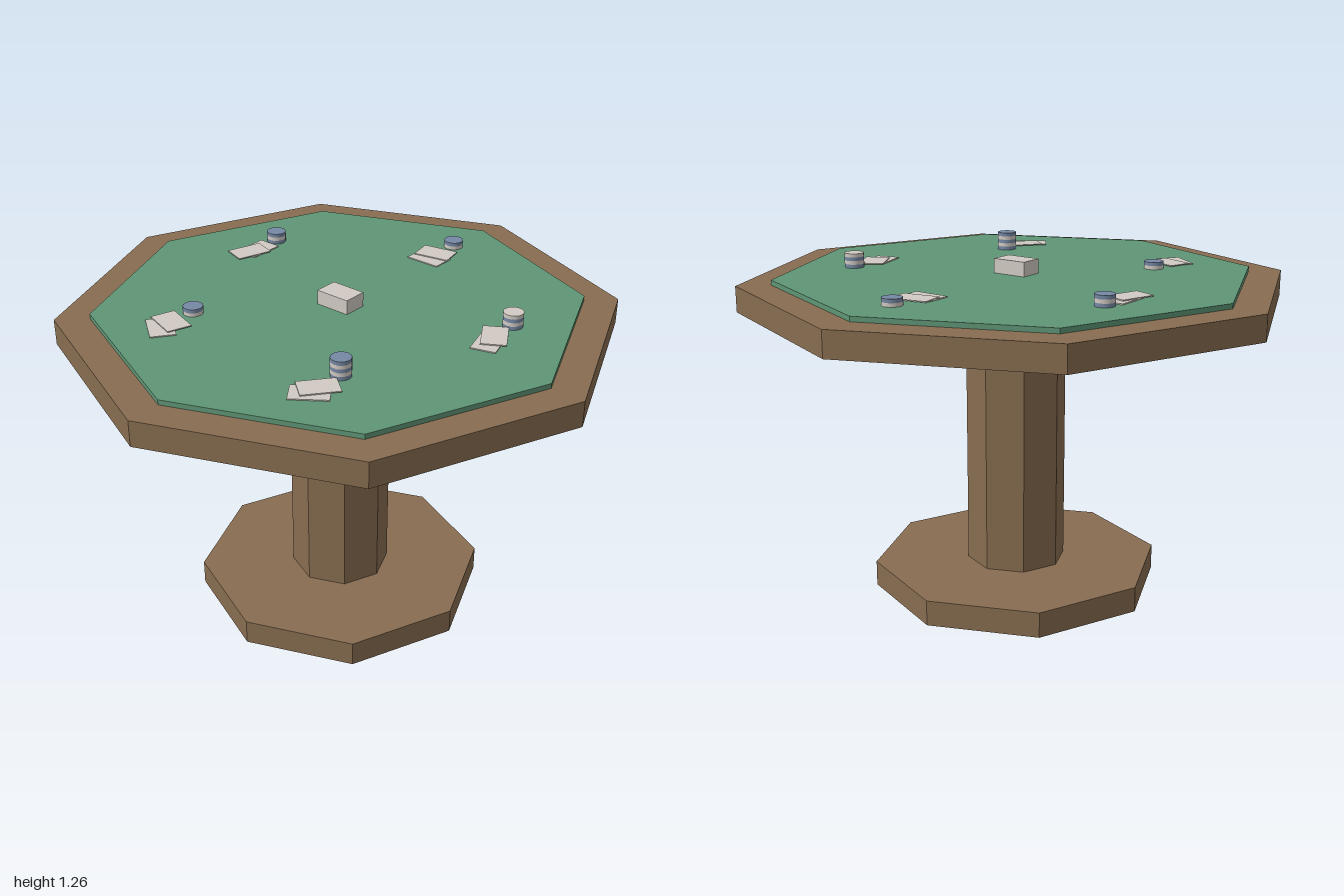
import * as THREE from 'three';

const material = (name, color) => {
  const m = new THREE.MeshStandardMaterial({ color });
  m.name = name;
  return m;
};

export function createModel() {
  const wood = material('wood', 0x876c50);
  const felt = material('green felt', 0x5f9676);
  const ivory = material('ivory', 0xd2cbc4);
  const blue = material('chip blue', 0x7688a4);

  const table = new THREE.Group();
  table.name = 'cardTable';

  const add = (parent, name, geometry, mat, x, y, z, turn = 0) => {
    const mesh = new THREE.Mesh(geometry, mat);
    mesh.name = name;
    mesh.position.set(x, y, z);
    mesh.rotation.y = turn;
    parent.add(mesh);
    return mesh;
  };

  // Octagonal slab with flat faces, standing between two heights
  const octagon = (name, radius, bottom, top, mat) => {
    const g = new THREE.CylinderGeometry(radius, radius, top - bottom, 8).toNonIndexed();
    g.computeVertexNormals();
    add(table, name, g, mat, 0, (bottom + top) / 2, 0);
  };

  const feltTop = 1.192;
  octagon('base', 0.538, 0, 0.095, wood);
  octagon('column', 0.185, 0.095, 1.08, wood);
  octagon('tableTop', 1, 1.08, 1.174, wood);
  octagon('feltSurface', 0.875, 1.174, feltTop, felt);

  // Deck in the middle
  add(table, 'deck', new THREE.BoxGeometry(0.09, 0.053, 0.135), ivory, 0, feltTop + 0.0265, 0);

  // Each place: two cards [x, z, turn] and a chip stack [x, z, count, colour of top chip]
  const places = [
    { cards: [[0.52, 0, 0], [0.568, -0.004, 0.19]], chips: [0.675, 0, 2, blue] },
    { cards: [[0.103, 0.564, 1.85], [0.145, 0.557, 2.11]], chips: [0.257, 0.555, 4, ivory] },
    { cards: [[-0.542, 0.333, 0.63], [-0.5, 0.333, 0.9]], chips: [-0.39, 0.333, 5, blue] },
    { cards: [[-0.532, -0.352, -0.63], [-0.483, -0.352, -0.31]], chips: [-0.377, -0.352, 2, blue] },
    { cards: [[0.167, -0.555, Math.PI / 2], [0.122, -0.557, 1.26]], chips: [0.275, -0.557, 3, blue] },
  ];

  const thick = 0.004;
  const chipHeight = 0.0135;
  const cardGeometry = new THREE.BoxGeometry(0.09, thick, 0.135);
  const chipGeometry = new THREE.CylinderGeometry(0.036, 0.036, chipHeight, 16);

  places.forEach(({ cards, chips }) => {
    const place = new THREE.Group();
    place.name = 'playerPlace';
    table.add(place);

    cards.forEach(([x, z, turn], i) =>
      add(place, 'card', cardGeometry, ivory, x, feltTop + thick * (i + 0.5), z, turn));

    // Chips alternate in colour down from the top one
    const [x, z, count, topColour] = chips;
    const other = topColour === blue ? ivory : blue;
    for (let i = 0; i < count; i++) {
      const mat = (count - 1 - i) % 2 === 0 ? topColour : other;
      add(place, 'chip', chipGeometry, mat, x, feltTop + chipHeight * (i + 0.5), z);
    }
  });

  return table;
}
